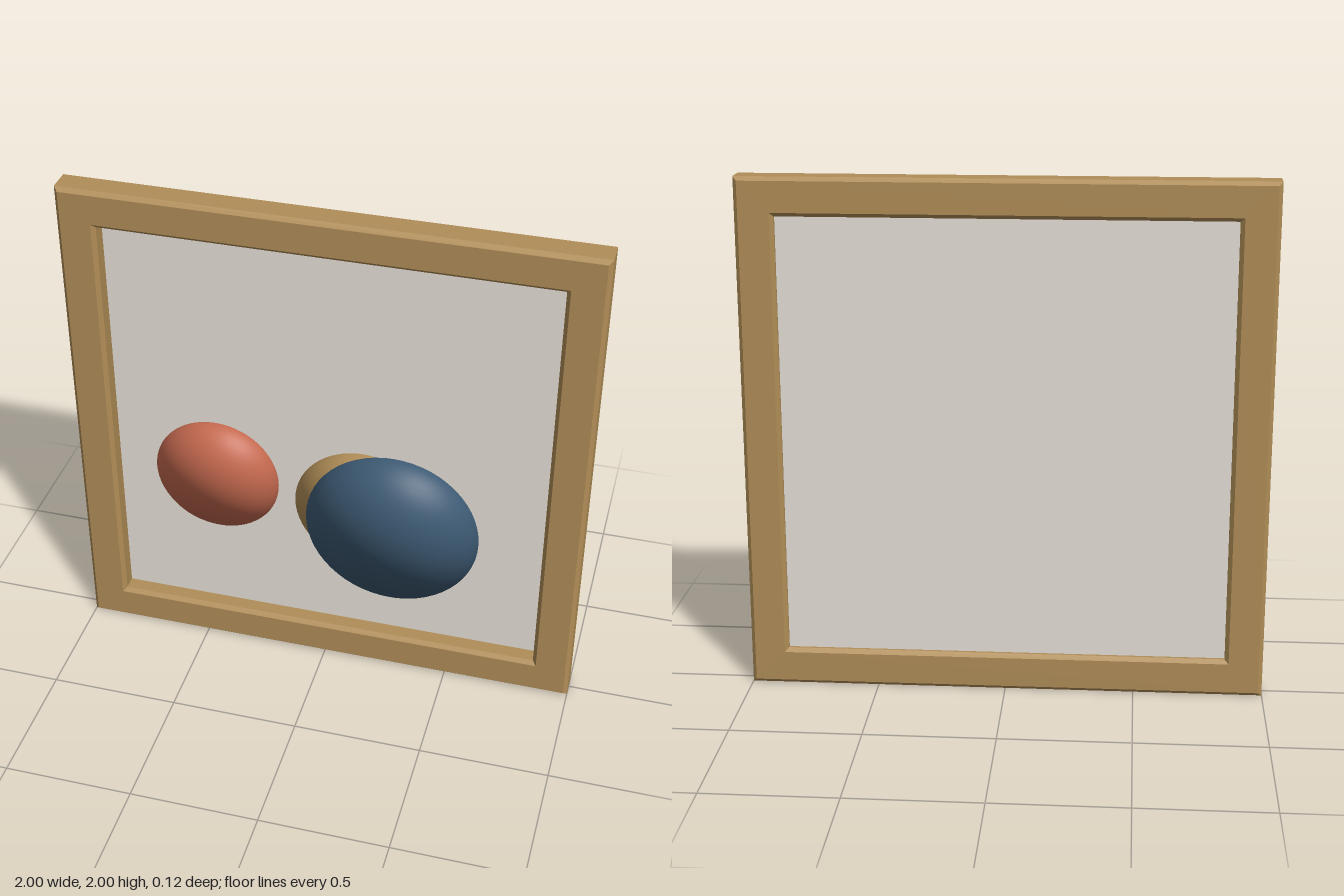
import * as THREE from 'three';

const brass = new THREE.MeshStandardMaterial({ name: 'brass', color: 0xb08d57 });
const linen = new THREE.MeshStandardMaterial({ name: 'linen', color: 0xe6e1d8 });
const terracotta = new THREE.MeshStandardMaterial({ name: 'terracotta', color: 0xc4694f });
const navy = new THREE.MeshStandardMaterial({ name: 'navy', color: 0x3d5a73 });

const BEVEL = 0.015;
const DEPTH = 0.12;

// Closed square outline of the given half size
function square(PathType, h) {
  const path = new PathType();
  path.moveTo(-h, -h).lineTo(h, -h).lineTo(h, h).lineTo(-h, h).closePath();
  return path;
}

// Bevelled square frame with an open middle
function createFrame() {
  const shape = square(THREE.Shape, 1 - BEVEL);
  shape.holes.push(square(THREE.Path, 0.868));
  const geometry = new THREE.ExtrudeGeometry(shape, {
    depth: DEPTH - 2 * BEVEL,
    bevelEnabled: true,
    bevelSize: BEVEL,
    bevelThickness: BEVEL,
    bevelSegments: 1,
  });
  geometry.translate(0, 1, -DEPTH / 2 + BEVEL);
  const mesh = new THREE.Mesh(geometry, brass);
  mesh.name = 'frame';
  return mesh;
}

// Flattened ball: only z is squeezed, keeping the round normals for soft shading
function createDisc(name, material, x, y, z, radius, halfDepth) {
  const geometry = new THREE.SphereGeometry(radius, 40, 28);
  const position = geometry.attributes.position;
  for (let i = 0; i < position.count; i++) {
    position.setZ(i, position.getZ(i) * halfDepth / radius);
  }
  const mesh = new THREE.Mesh(geometry, material);
  mesh.position.set(x, y, z);
  mesh.name = name;
  return mesh;
}

export function createModel() {
  const group = new THREE.Group();
  group.name = 'framedArtwork';
  group.add(createFrame());

  // Backing panel set inside the frame
  const panel = new THREE.Mesh(new THREE.BoxGeometry(1.73, 1.73, 0.024), linen);
  panel.name = 'panel';
  panel.position.set(0, 1, -0.022);
  group.add(panel);

  // Overlapping relief discs
  group.add(
    createDisc('smallDisc', terracotta, -0.445, 0.79, 0.012, 0.25, 0.02),
    createDisc('hiddenDisc', brass, 0.14, 0.73, 0.008, 0.27, 0.017),
    createDisc('largeDisc', navy, 0.26, 0.67, 0.024, 0.343, 0.022),
  );
  return group;
}
